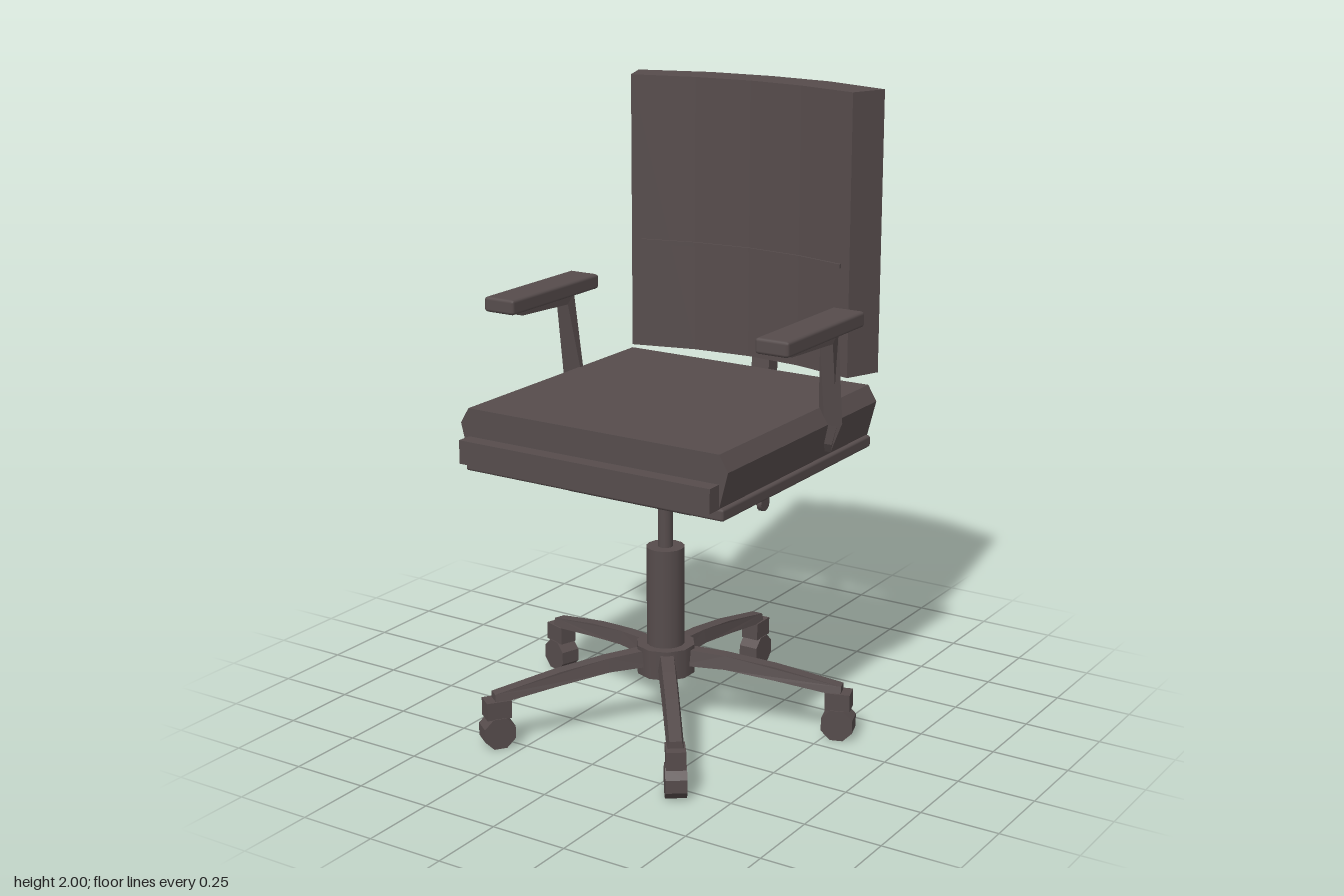
import * as THREE from 'three';
import { RoundedBoxGeometry } from 'three/addons/geometries/RoundedBoxGeometry.js';

export function createModel() {
  const chair = new THREE.Group();
  chair.name = 'officeChair';
  const charcoal = new THREE.MeshStandardMaterial({ color: 0x564c4c });
  charcoal.name = 'charcoal';

  const add = (name, geometry, x = 0, y = 0, z = 0, parent = chair) => {
    const mesh = new THREE.Mesh(geometry, charcoal);
    mesh.name = name;
    mesh.position.set(x, y, z);
    parent.add(mesh);
    return mesh;
  };
  const extrude = (points, depth) => new THREE.ExtrudeGeometry(
    new THREE.Shape(points.map(([a, b]) => new THREE.Vector2(a, b))),
    { depth, bevelEnabled: false });
  // Side profile of [z, y] points, centred across x
  const fromSide = (points, width) =>
    extrude(points, width).translate(0, 0, -width / 2).rotateY(-Math.PI / 2);
  // Plan of [x, z] points, rising from y = 0
  const fromPlan = (points, height) =>
    extrude(points.map(([x, z]) => [x, -z]), height).rotateX(-Math.PI / 2);
  // Move every vertex by a rule
  const reshape = (geometry, rule) => {
    const pos = geometry.attributes.position;
    const v = new THREE.Vector3();
    for (let i = 0; i < pos.count; i++) {
      rule(v.fromBufferAttribute(pos, i));
      pos.setXYZ(i, v.x, v.y, v.z);
    }
    geometry.computeVertexNormals();
    return geometry;
  };
  const rod = (r, length, sides = 16) => new THREE.CylinderGeometry(r, r, length, sides);

  // Seat: cushion with bevelled sides, front nose, pan and tilt mechanism
  add('seatCushion', extrude([
    [-0.45, 0.905], [0.45, 0.905], [0.48, 1.02], [0.45, 1.07], [-0.45, 1.07], [-0.48, 1.02],
  ], 0.9), 0, 0, -0.405);
  add('seatNose', new THREE.BoxGeometry(0.9, 0.075, 0.06), 0, 0.943, 0.515);
  add('seatPan', new RoundedBoxGeometry(0.93, 0.038, 0.9, 1, 0.008), 0, 0.888, 0.047);
  add('tiltMechanism', new RoundedBoxGeometry(0.46, 0.085, 0.5, 1, 0.008), 0, 0.83, 0.045);
  add('heightLever', rod(0.01, 0.18, 10).rotateZ(Math.PI / 2), 0.315, 0.826, 0.164);
  add('heightLeverKnob', rod(0.025, 0.016, 12).rotateZ(Math.PI / 2), 0.402, 0.826, 0.164);

  // Backrest: faceted curved slab with a thin seam rail on each face
  const mirrored = (half) => [...half, ...half.slice(0, -1).reverse().map(([x, z]) => [-x, z])];
  const backCurve = mirrored([[-0.455, -0.458], [-0.22, -0.531], [0, -0.548]]);
  const frontCurve = mirrored([[-0.407, -0.341], [-0.195, -0.395], [0, -0.413]]);
  add('backrest', fromPlan([...backCurve, ...frontCurve.reverse()], 0.9), 0, 1.1, 0);
  const seam = (name, half, thickness) => {
    const curve = mirrored(half);
    const inner = curve.map(([x, z]) => [x, z + thickness]).reverse();
    add(name, fromPlan([...curve, ...inner], 0.014), 0, 1.448, 0);
  };
  seam('rearSeam', [[-0.42, -0.479], [-0.22, -0.54], [0, -0.557]], 0.015);
  seam('frontSeam', [[-0.372, -0.356], [-0.195, -0.402], [0, -0.42]], 0.014);

  // Backrest support bar and its adjusting lever
  add('backSupport', fromSide([
    [-0.34, 0.865], [-0.365, 0.815], [-0.54, 0.9], [-0.556, 1.17], [-0.505, 1.17], [-0.48, 0.94],
  ], 0.066));
  const backLever = add('backLever', rod(0.008, 0.085, 8).rotateX(Math.PI / 2), 0.01, 1.23, -0.57);
  backLever.rotation.y = -0.62;

  // Armrests: padded top on a bent post that tucks in under the seat
  for (const side of [1, -1]) {
    const arm = new THREE.Group();
    arm.name = side > 0 ? 'leftArmrest' : 'rightArmrest';
    chair.add(arm);
    add('armPad', new RoundedBoxGeometry(0.114, 0.049, 0.468, 1, 0.01), side * 0.491, 1.341, 0.046, arm);
    const post = fromSide([
      [0.2, 1.317], [-0.09, 1.317], [-0.125, 1.02], [-0.136, 0.95], [-0.115, 0.925],
      [-0.097, 0.955], [-0.09, 1.02], [-0.055, 1.285], [0.19, 1.297],
    ], 0.044);
    add('armPost', reshape(post, (v) => {
      if (v.y < 1) v.x -= side * (1 - v.y) * 0.45;
    }), side * 0.488, 0, 0, arm);
  }

  // Pedestal: gas lift, column and hub
  const base = new THREE.Group();
  base.name = 'base';
  base.position.z = 0.085;
  chair.add(base);
  add('gasLift', rod(0.024, 0.22), 0, 0.69, 0, base);
  add('column', rod(0.061, 0.35), 0, 0.415, 0, base);
  add('hub', rod(0.095, 0.095, 10), 0, 0.2175, 0, base);

  // Five arched legs, each with a caster; one leg points straight back
  for (let i = 0; i < 5; i++) {
    const leg = new THREE.Group();
    leg.name = 'legWithCaster' + (i + 1);
    leg.rotation.y = Math.PI + (i * Math.PI * 2) / 5;
    base.add(leg);
    const beam = fromSide([
      [0.05, 0.2], [0.2, 0.2], [0.36, 0.18], [0.575, 0.148],
      [0.575, 0.178], [0.36, 0.222], [0.2, 0.244], [0.05, 0.255],
    ], 0.056);
    // Narrow the top edge and taper slightly outwards
    add('legBeam', reshape(beam, (v) => {
      const top = 0.255 - v.z * 0.09;
      v.x *= (v.y > top - 0.028 ? 0.72 : 1) * (1.05 - v.z * 0.2);
    }), 0, 0, 0, leg);
    add('casterBlock', new THREE.BoxGeometry(0.06, 0.058, 0.08), 0, 0.127, 0.565, leg);
    const wheel = rod(0.054, 0.066, 8).toNonIndexed();
    wheel.computeVertexNormals();
    wheel.rotateZ(Math.PI / 2).rotateX(Math.PI / 8);
    add('casterWheel', wheel, 0, 0.05, 0.565, leg);
  }
  return chair;
}
